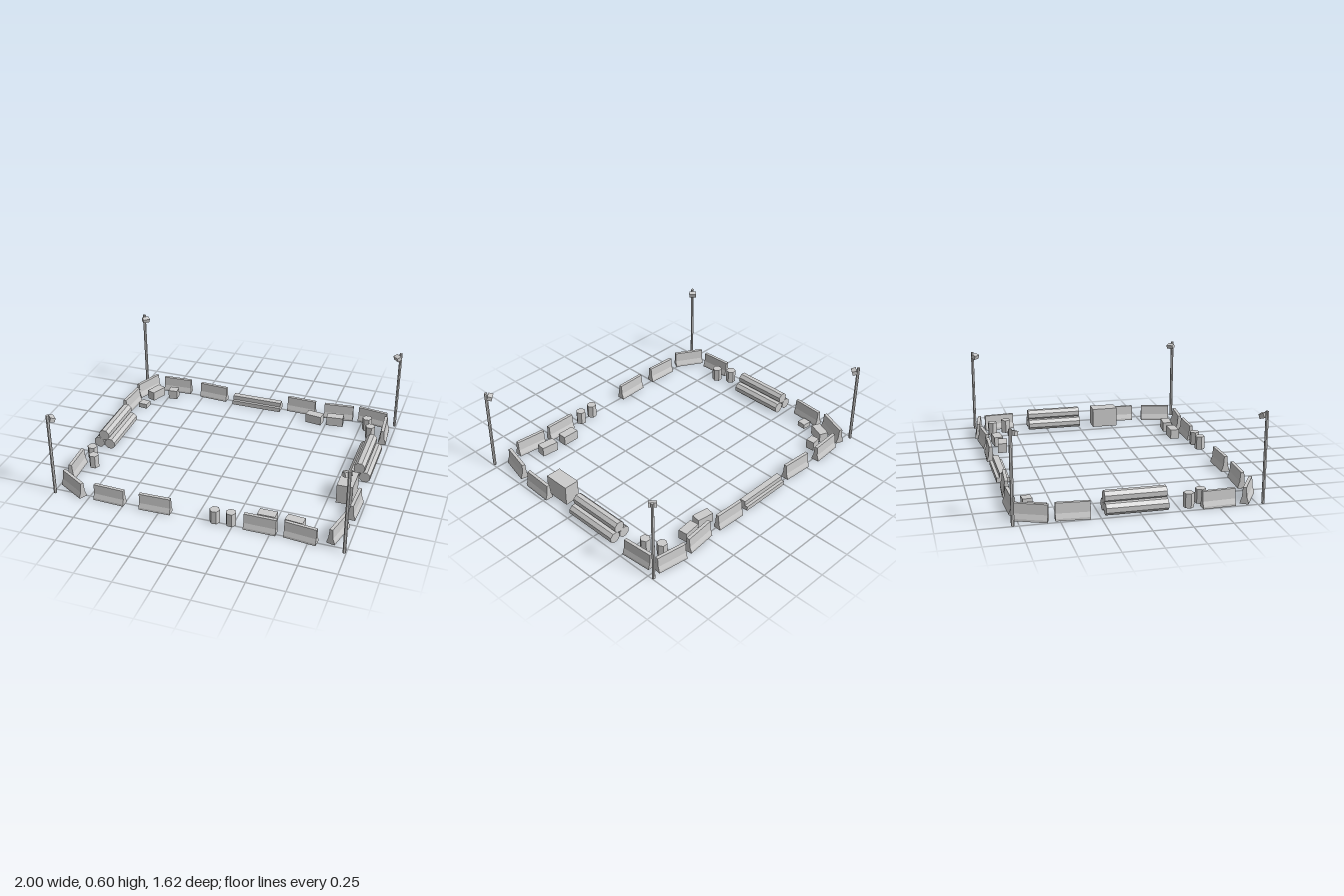
import * as THREE from 'three';

const grey = new THREE.MeshStandardMaterial({ color: 0xcccccc, flatShading: true });
const greyOpen = new THREE.MeshStandardMaterial({ color: 0xcccccc, flatShading: true, side: THREE.DoubleSide });

// Drop the faces lying on the ground, leaving a hollow shell
function openBottom(geometry) {
  const g = geometry.index ? geometry.toNonIndexed() : geometry;
  const p = g.attributes.position;
  const kept = [];
  for (let i = 0; i < p.count; i += 3) {
    if (Math.max(p.getY(i), p.getY(i + 1), p.getY(i + 2)) < 1e-5) continue;
    for (let k = i; k < i + 3; k++) kept.push(p.getX(k), p.getY(k), p.getZ(k));
  }
  const shell = new THREE.BufferGeometry();
  shell.setAttribute('position', new THREE.Float32BufferAttribute(kept, 3));
  shell.computeVertexNormals();
  return shell;
}

function add(parent, name, geometry, material, x, y, z, turn = 0) {
  const mesh = new THREE.Mesh(geometry, material);
  mesh.name = name;
  mesh.position.set(x, y, z);
  mesh.rotation.y = turn;
  parent.add(mesh);
  return mesh;
}

// Concrete road barrier: wide foot, sloped shoulder, narrow wall, length along x
function barrierGeometry() {
  const half = [[0.028, 0], [0.027, 0.014], [0.016, 0.045], [0.011, 0.11]];
  const outline = [...half, ...half.map(([x, y]) => [-x, y]).reverse()];
  const shape = new THREE.Shape(outline.map(([x, y]) => new THREE.Vector2(x, y)));
  const g = new THREE.ExtrudeGeometry(shape, { depth: 0.215, bevelEnabled: false });
  g.translate(0, 0, -0.1075);
  g.rotateY(Math.PI / 2);
  return openBottom(g);
}

function crateGeometry(w, h, d) {
  return openBottom(new THREE.BoxGeometry(w, h, d).translate(0, h / 2, 0));
}

// Three pipes stacked in a pyramid, lying along z
function pipeStack(x, z) {
  const stack = new THREE.Group();
  stack.name = 'pipeStack';
  const pipe = new THREE.CylinderGeometry(0.04, 0.04, 0.395, 8);
  pipe.rotateY(Math.PI / 8);
  pipe.rotateX(Math.PI / 2);
  for (const [px, py] of [[-0.04, 0.04], [0.04, 0.04], [0, 0.105]]) add(stack, 'pipe', pipe, grey, px, py, 0);
  stack.position.set(x, 0, z);
  return stack;
}

// Two beams side by side with a third on top, lying along x
function beamStack(x, z) {
  const stack = new THREE.Group();
  stack.name = 'beamStack';
  const beam = new THREE.BoxGeometry(0.373, 0.032, 0.042);
  for (const [py, pz] of [[0.016, -0.0215], [0.016, 0.0215], [0.048, 0]]) add(stack, 'beam', beam, grey, 0, py, pz);
  stack.position.set(x, 0, z);
  return stack;
}

// Corner floodlight, its head tipped down towards the middle
function lightPole(sx, sz) {
  const lamp = new THREE.Group();
  lamp.name = 'lightPole';
  add(lamp, 'pole', new THREE.CylinderGeometry(0.011, 0.011, 0.6, 6), grey, 0, 0.3, 0);
  const head = add(lamp, 'lampHead', new THREE.BoxGeometry(0.05, 0.03, 0.034), grey, 0, 0.57, 0.026);
  head.rotation.x = 0.3;
  lamp.position.set(sx * 0.988, 0, sz * 0.787);
  lamp.rotation.y = Math.atan2(-sx, -sz);
  return lamp;
}

export function createModel() {
  const model = new THREE.Group();
  model.name = 'barricadedYard';

  // Barriers around the edge: x, z, direction of the long side (dx, dz)
  const barrier = barrierGeometry();
  const barriers = [
    [-0.93, -0.67, -15, 37], [-0.715, -0.763, 40, -2], [-0.413, -0.75, 40, 2.5],
    [0.284, -0.763, 40, 1.5], [0.57, -0.765, 40, -4], [0.826, -0.773, 40, 6],
    [0.943, -0.607, 3, 40], [0.953, 0.342, -1.5, 40], [0.91, 0.627, -9, 39],
    [0.698, 0.745, 40, 4], [0.431, 0.741, 1, 0], [-0.28, 0.754, 40, -1],
    [-0.603, 0.757, 40, 1.5], [-0.882, 0.722, 34, 20], [-0.967, 0.499, 2, 40],
    [-0.96, -0.419, -3, 40],
  ];
  for (const [x, z, dx, dz] of barriers) add(model, 'barrier', barrier, greyOpen, x, 0, z, -Math.atan2(dz, dx));

  // Long crates, square crates and one large container
  const longCrate = crateGeometry(0.12, 0.068, 0.064);
  const crates = [
    [-0.843, -0.622, 1.18], [0.413, -0.653, -0.14], [0.565, -0.672, 0.1],
    [0.446, 0.636, 0], [0.632, 0.639, -0.1],
  ];
  for (const [x, z, turn] of crates) add(model, 'longCrate', longCrate, greyOpen, x, 0, z, turn);
  add(model, 'squareCrate', crateGeometry(0.066, 0.068, 0.062), greyOpen, -0.713, 0, -0.66, 0.08);
  add(model, 'flatCrate', crateGeometry(0.064, 0.035, 0.062), greyOpen, -0.873, 0, -0.458, -0.08);
  add(model, 'container', crateGeometry(0.107, 0.14, 0.185), greyOpen, 0.864, 0, 0.199);

  // Six-sided barrels standing in pairs
  const barrel = openBottom(new THREE.CylinderGeometry(0.035, 0.035, 0.095, 6).translate(0, 0.0475, 0));
  const barrels = [
    [0.804, -0.675, 0.52], [0.848, -0.57, 0.45], [0.127, 0.743, 0.6],
    [0.235, 0.738, 0.45], [-0.934, 0.318, 0.7], [-0.88, 0.411, 0.6],
  ];
  for (const [x, z, turn] of barrels) add(model, 'barrel', barrel, greyOpen, x, 0, z, turn);

  model.add(pipeStack(-0.91, -0.02), pipeStack(0.898, -0.192), beamStack(-0.06, -0.742));
  for (const sx of [-1, 1]) for (const sz of [-1, 1]) model.add(lightPole(sx, sz));
  return model;
}
